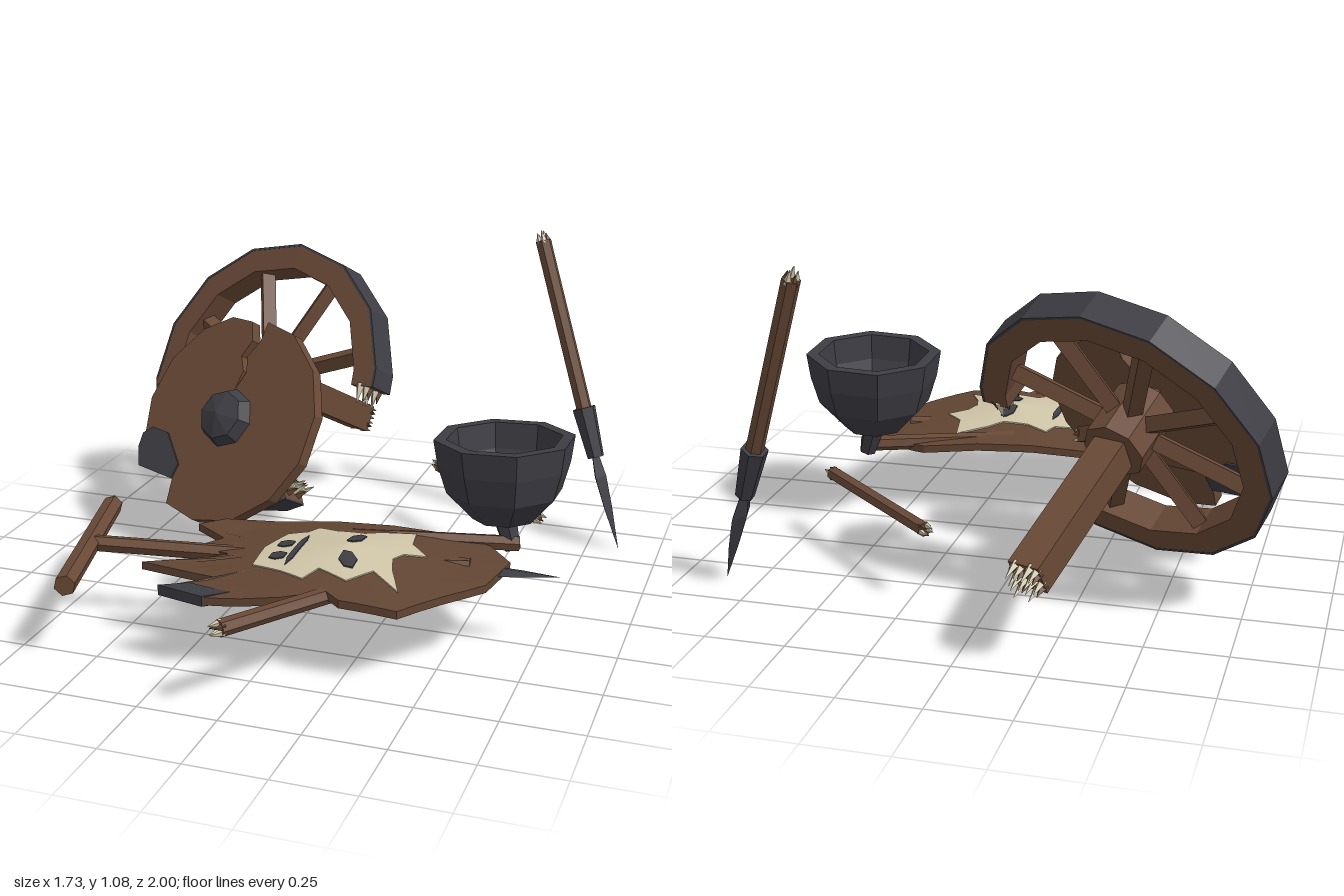
import * as THREE from 'three';

const V = (x, y, z) => new THREE.Vector3(x, y, z);
const mat = (name, color, side = THREE.FrontSide) => {
  const m = new THREE.MeshStandardMaterial({ color, flatShading: true, side });
  m.name = name;
  return m;
};

export function createModel() {
  const root = new THREE.Group();
  root.name = 'battlefieldDebris';
  const wood = mat('wood', 0x6a4a37);
  const leather = mat('leather', 0x624533, THREE.DoubleSide);
  const iron = mat('iron', 0x3d3d44, THREE.DoubleSide);
  const bone = mat('paleBone', 0xcfc5a8, THREE.DoubleSide);

  const add = (parent, name, geo, m) => {
    const mesh = new THREE.Mesh(geo, m);
    mesh.name = name;
    parent.add(mesh);
    return mesh;
  };
  const group = (parent, name) => {
    const g = new THREE.Group();
    g.name = name;
    parent.add(g);
    return g;
  };

  // Straight bar between two points
  function rod(parent, name, a, b, r0, r1 = r0, sides = 6, m = wood) {
    const d = b.clone().sub(a);
    const mesh = add(parent, name, new THREE.CylinderGeometry(r1, r0, d.length(), sides), m);
    mesh.position.copy(a).addScaledVector(d, 0.5);
    mesh.quaternion.setFromUnitVectors(V(0, 1, 0), d.normalize());
    return mesh;
  }

  // Splintered pale and brown slivers at a broken end
  function splinters(parent, p, dir, r, len) {
    const g = group(parent, 'splinters');
    g.position.copy(p);
    g.quaternion.setFromUnitVectors(V(0, 1, 0), dir.clone().normalize());
    for (let i = 0; i < 5; i++) {
      const t = i * 1.2566, l = len * (0.65 + 0.35 * ((i * 2) % 3) / 2);
      const c = V(Math.cos(t) * r * 0.55, 0, Math.sin(t) * r * 0.55);
      rod(g, 'splinter', c.clone().setY(-0.01), c.clone().setY(l), r * 0.5, 0.001, 4, i % 3 ? bone : wood);
    }
  }
  function brokenRod(parent, name, a, b, r, both = false) {
    rod(parent, name, a, b, r);
    const d = b.clone().sub(a);
    splinters(parent, a, d.clone().negate(), r, 0.035);
    if (both) splinters(parent, b, d, r, 0.035);
  }

  // Group whose local z is the given normal, local y the steepest way up
  function leaning(name, pos, n) {
    const g = group(root, name);
    n.normalize();
    const u = V(0, 1, 0).cross(n).normalize();
    g.quaternion.setFromRotationMatrix(new THREE.Matrix4().makeBasis(u, n.clone().cross(u), n));
    g.position.copy(pos);
    return g;
  }
  const plate = (pts, depth) => {
    const shape = new THREE.Shape(pts.map(p => new THREE.Vector2(p[0], p[1])));
    return new THREE.ExtrudeGeometry(shape, { depth, bevelEnabled: false }).translate(0, 0, -depth / 2);
  };
  const polar = (deg, r) => [r * Math.cos(deg * Math.PI / 180), r * Math.sin(deg * Math.PI / 180)];

  // Broken cart wheel with iron tyre, hub and axle
  const wheel = leaning('cartWheel', V(-0.39, 0.555, -0.45), V(-0.3, 0.47, 0.83));
  const angles = [5];
  for (let i = 0; i < 12; i++) angles.push(12.86 + 25.714 * i);
  angles.push(304);
  const arc = (r0, r1) => [...angles.map(a => polar(a, r1)), ...[...angles].reverse().map(a => polar(a, r0))];
  add(wheel, 'wheelRim', plate(arc(0.395, 0.478), 0.108), wood);
  add(wheel, 'ironTyre', plate(arc(0.478, 0.486), 0.11), iron);
  for (const [a, s] of [[5, -1], [304, 1]]) {
    const p = polar(a, 0.435), t = polar(a + 90 * s, 1);
    for (const z of [-0.028, 0.028]) splinters(wheel, V(p[0], p[1], z), V(t[0], t[1], 0), 0.035, 0.06);
  }
  for (let i = 0; i < 8; i++) {
    const a = 22.5 + 45 * i, end = polar(a, i === 7 ? 0.2 : 0.42), start = polar(a, 0.06);
    rod(wheel, 'spoke', V(start[0], start[1], 0), V(end[0], end[1], 0), 0.033, 0.033, 4);
    if (i === 7) splinters(wheel, V(end[0], end[1], 0), V(end[0], end[1], 0), 0.03, 0.04);
  }
  rod(wheel, 'hub', V(0, 0, -0.1), V(0, 0, 0.1), 0.1, 0.1, 8);
  add(wheel, 'axle', new THREE.BoxGeometry(0.1, 0.1, 0.73), wood).position.z = -0.235;
  for (const x of [-0.025, 0.025]) for (const y of [-0.025, 0.025])
    splinters(wheel, V(x, y, -0.6), V(0, 0, -1), 0.03, 0.05);

  // Cracked round shield with boss, edge patch and grip
  const shield = leaning('roundShield', V(-0.42, 0.485, -0.155), V(-0.31, 0.5, 0.81));
  const rim = list => list.map(a => polar(a, 0.368));
  add(shield, 'shieldBoard', plate([
    [0.035, 0.355], ...rim([64, 38, 13, -13, -38, -64, -90, -112]),
    [-0.15, -0.245], [-0.3, -0.235], ...rim([205, 180, 155, 130, 110]),
    [-0.035, 0.345], [-0.005, 0.28], [-0.03, 0.22], [0, 0.17], [-0.01, 0.1],
    [0.015, 0.17], [-0.005, 0.22], [0.03, 0.285],
  ].reverse(), 0.045), wood);
  add(shield, 'edgePatch', plate([[-0.345, -0.18], [-0.315, -0.245], [-0.15, -0.255],
    [-0.14, -0.2], [-0.235, -0.105], [-0.31, -0.1], [-0.345, -0.13]], 0.058), iron);
  const boss = add(shield, 'shieldBoss', new THREE.LatheGeometry(
    [[0.105, 0], [0.085, 0.045], [0, 0.07]].map(p => new THREE.Vector2(...p)), 8), iron);
  boss.rotation.x = Math.PI / 2;
  boss.position.z = 0.02;
  add(shield, 'shieldGrip', new THREE.BoxGeometry(0.24, 0.05, 0.025), wood).position.set(0, -0.13, -0.035);

  // Cloth surface: height falls away from a low peak
  const PX = 0.18, PZ = 0.38;
  const height = (x, z) => 0.25 + 0.065 * Math.max(0, 1 - Math.hypot(x - PX, z - PZ) / 0.42);
  function drape(parent, name, outline, lift, m, center = [PX, PZ]) {
    const edge = [], pos = [], rings = 4, sub = 4;
    outline.forEach((p, i) => {
      const q = outline[(i + 1) % outline.length];
      for (let k = 0; k < sub; k++) edge.push([p[0] + (q[0] - p[0]) * k / sub, p[1] + (q[1] - p[1]) * k / sub]);
    });
    const at = (p, t, top) => {
      const x = center[0] + (p[0] - center[0]) * t, z = center[1] + (p[1] - center[1]) * t;
      return [x, height(x, z) + (top ? lift : -0.025 - lift), z];
    };
    const quad = (a, b, c, d) => pos.push(...a, ...b, ...c, ...a, ...c, ...d);
    edge.forEach((p, i) => {
      const q = edge[(i + 1) % edge.length];
      for (let r = 0; r < rings; r++) {
        const t = r / rings, s = (r + 1) / rings;
        quad(at(p, t, 1), at(p, s, 1), at(q, s, 1), at(q, t, 1));
        quad(at(q, t, 0), at(q, s, 0), at(p, s, 0), at(p, t, 0));
      }
      quad(at(p, 1, 1), at(p, 1, 0), at(q, 1, 0), at(q, 1, 1));
    });
    const geo = new THREE.BufferGeometry();
    geo.setAttribute('position', new THREE.Float32BufferAttribute(pos, 3));
    geo.computeVertexNormals();
    add(parent, name, geo, m);
  }

  // Tattered banner with a horned beast face
  const banner = group(root, 'banner');
  drape(banner, 'bannerCloth', [[0.42, 0.05], [-0.315, 0.155], [-0.383, 0.225], [-0.26, 0.31], [-0.31, 0.39],
    [-0.19, 0.44], [-0.425, 0.57], [-0.16, 0.61], [-0.3, 0.72], [-0.146, 0.754], [0.08, 0.705], [0.2, 0.645],
    [0.25, 0.68], [0.425, 0.675], [0.62, 0.4], [0.65, 0.21], [0.56, 0.1]], 0, leather);
  drape(banner, 'beastFace', [[-0.05, 0.28], [-0.085, 0.4], [-0.075, 0.53], [0.03, 0.565], [0.11, 0.6],
    [0.14, 0.535], [0.24, 0.58], [0.3, 0.5], [0.4, 0.58], [0.35, 0.47], [0.33, 0.4], [0.35, 0.35],
    [0.415, 0.32], [0.35, 0.25], [0.33, 0.14], [0.23, 0.2], [0.19, 0.24], [0.1, 0.24], [0.03, 0.21], [0.01, 0.26]], 0.004, bone);
  const spot = (name, x, z, w, h, skew = 0) => drape(banner, name,
    [[x - w, z - h * 0.6 + skew], [x - w, z + h * 0.6 + skew], [x, z + h], [x + w, z + h * 0.6 - skew],
      [x + w, z - h * 0.6 - skew], [x, z - h]], 0.008, iron, [x, z]);
  spot('eye', 0.19, 0.32, 0.02, 0.045, 0.012);
  spot('eye', 0.21, 0.47, 0.028, 0.04, -0.018);
  spot('nostril', -0.02, 0.38, 0.024, 0.026);
  spot('nostril', -0.015, 0.47, 0.024, 0.026);
  spot('mouth', 0.03, 0.42, 0.01, 0.11);
  drape(banner, 'darkTip', [[-0.302, 0.721], [-0.22, 0.675], [-0.08, 0.7], [-0.146, 0.756]], 0.004, iron, [-0.19, 0.715]);

  // Standard pole under the banner: crossbar at one end, blade at the other
  const standard = group(root, 'bannerPole');
  rod(standard, 'pole', V(-0.64, 0.245, 0.47), V(0.5, 0.23, 0.28), 0.027);
  brokenRod(standard, 'crossbar', V(-0.73, 0.245, 0.15), V(-0.57, 0.245, 0.8), 0.034);
  rod(standard, 'bladeCollar', V(0.4, 0.23, 0.3), V(0.54, 0.235, 0.275), 0.04);

  // Flat four-sided blade along +y
  const blade = (parent, len, w, thin) => {
    const g = new THREE.LatheGeometry([[0, 0], [0.4 * w, 0], [w, len * 0.3], [0.7 * w, len * 0.6], [0, len]]
      .map(p => new THREE.Vector2(...p)), 4);
    return add(parent, 'blade', g.scale(1, 1, thin), iron);
  };
  const poleBlade = blade(standard, 0.3, 0.04, 0.3);
  poleBlade.position.set(0.52, 0.24, 0.28);
  poleBlade.quaternion.setFromRotationMatrix(new THREE.Matrix4().makeBasis(
    V(0.1, 0, 0.995), V(0.995, 0, -0.1), V(0, 1, 0)));

  // Loose broken sticks
  brokenRod(root, 'stickThroughBanner', V(-0.01, 0.26, 0.95), V(0.4, 0.245, 0.31), 0.026);
  brokenRod(root, 'looseStick', V(0.2, 0.235, -0.61), V(0.64, 0.235, -0.23), 0.024, true);
  rod(root, 'bowlHandle', V(0.13, 0.26, 0.18), V(0.64, 0.245, 0.04), 0.026);

  // Iron bowl on a short stem
  const bowl = group(root, 'ironBowl');
  bowl.position.set(0.585, 0.31, 0.025);
  bowl.rotation.set(-0.06, Math.PI / 8, 0.04);
  add(bowl, 'bowl', new THREE.LatheGeometry([[0, 0], [0.1, 0.01], [0.185, 0.1], [0.212, 0.19], [0.225, 0.275],
    [0.185, 0.275], [0.175, 0.19], [0.14, 0.1], [0, 0.05]].map(p => new THREE.Vector2(...p)), 8), iron);
  rod(bowl, 'bowlStem', V(0.025, -0.09, 0.02), V(0, 0.02, 0), 0.028, 0.04, 6, iron);

  // Spear standing on its point
  const spear = group(root, 'spear');
  const tip = V(0.862, 0, -0.6), top = V(0.505, 1.04, -0.815);
  const along = top.clone().sub(tip), on = t => tip.clone().addScaledVector(along, t);
  rod(spear, 'spearShaft', on(0.4), top, 0.028);
  splinters(spear, top, along, 0.028, 0.035);
  rod(spear, 'spearSocket', on(0.3), on(0.46), 0.03, 0.042, 6, iron);
  const head = blade(spear, 0.38, 0.048, 0.45);
  const y = along.clone().normalize().negate();
  const z = V(1, 0, 0.2).cross(y).cross(y).normalize();
  head.quaternion.setFromRotationMatrix(new THREE.Matrix4().makeBasis(y.clone().cross(z), y, z));
  head.position.copy(tip).addScaledVector(y, -0.38);

  return root;
}
